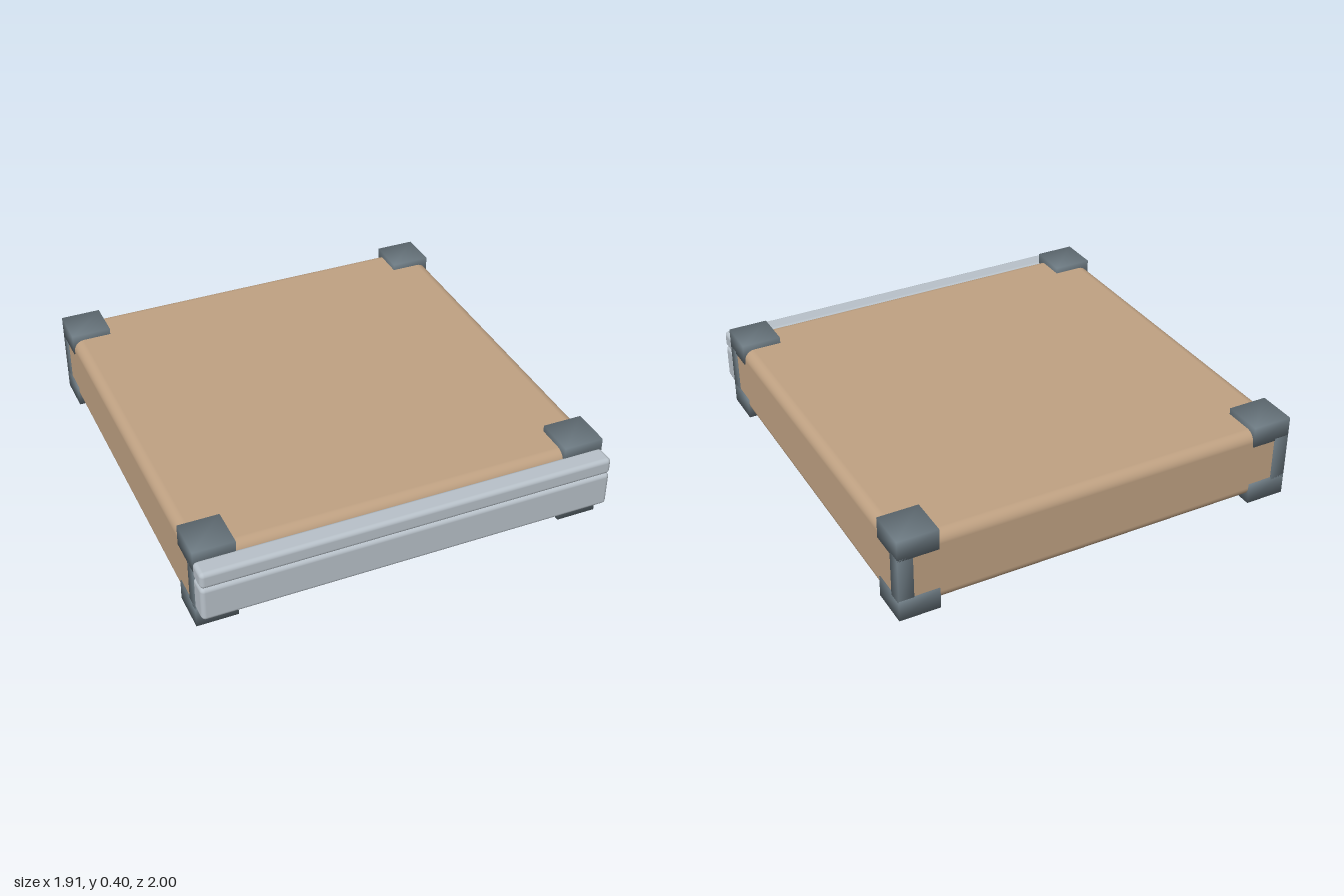
import * as THREE from 'three';
import { mergeVertices } from 'three/addons/utils/BufferGeometryUtils.js';
import { RoundedBoxGeometry } from 'three/addons/geometries/RoundedBoxGeometry.js';

const flat = (name, color) => Object.assign(new THREE.MeshStandardMaterial({ color }), { name });

// Box with shared corners, so it shades softly
function softBox(w, h, d) {
  const g = new THREE.BoxGeometry(w, h, d);
  g.deleteAttribute('normal');
  g.deleteAttribute('uv');
  const merged = mergeVertices(g);
  merged.computeVertexNormals();
  return merged;
}

export function createModel() {
  const tan = flat('tan', 0xbfa182);
  const slate = flat('slate', 0x6b7880);
  const silver = flat('silver', 0xb8c1c9);
  const model = new THREE.Group();

  const add = (parent, name, geometry, material, x, y, z) => {
    const mesh = new THREE.Mesh(geometry, material);
    mesh.name = name;
    mesh.position.set(x, y, z);
    parent.add(mesh);
  };

  // Slab with softened edges
  add(model, 'body', new RoundedBoxGeometry(1.904, 0.34, 1.896, 4, 0.05), tan, 0, 0.2, -0.047);

  // Corner brackets: a foot, a cap and a narrow post between them
  const size = 0.188, post = 0.07;
  for (const sx of [-1, 1]) {
    for (const [edge, sz] of [[-1, -1], [0.912, 1]]) {
      const bracket = new THREE.Group();
      bracket.name = (sz > 0 ? 'front' : 'back') + (sx > 0 ? 'Left' : 'Right') + 'Bracket';
      const x = sx * (0.957 - size / 2), z = edge - sz * size / 2;
      add(bracket, 'foot', softBox(size, 0.1, size), slate, x, 0.05, z);
      add(bracket, 'cap', softBox(size, 0.1, size), slate, x, 0.35, z);
      add(bracket, 'post', softBox(post, 0.22, post), slate,
        sx * (0.957 - post / 2), 0.2, edge - sz * post / 2);
      model.add(bracket);
    }
  }

  // Front rail in two strips with a fine groove between
  add(model, 'lowerRail', new RoundedBoxGeometry(1.914, 0.17, 0.1, 4, 0.02), silver, 0, 0.185, 0.95);
  add(model, 'upperRail', new RoundedBoxGeometry(1.914, 0.08, 0.1, 4, 0.02), silver, 0, 0.31, 0.95);
  return model;
}
